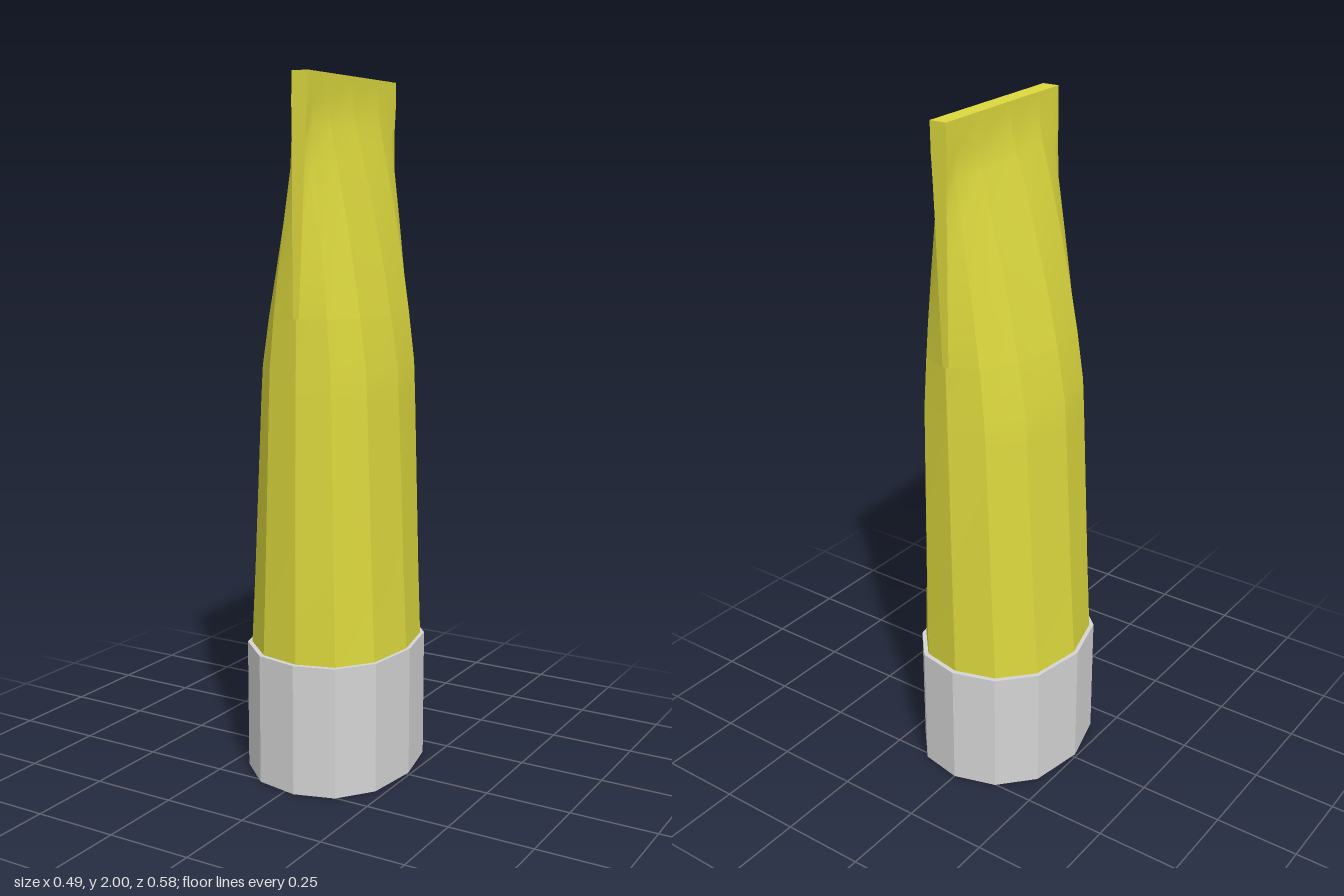
import * as THREE from 'three';

// Twelve-sided footprint [x, z], from the back ridge round the +x side
const FOOT = [
  [0, -0.29], [0.126, -0.264], [0.206, -0.173], [0.242, -0.012], [0.222, 0.152], [0.147, 0.252],
  [0.031, 0.288], [-0.096, 0.264], [-0.199, 0.171], [-0.243, 0.012], [-0.215, -0.154], [-0.126, -0.252],
];

// Body levels: height, sideways scale, half thickness of the blade edge
const LEVELS = [
  [0.37, 0.955, 0.001], [0.6, 0.9, 0.001], [1.1, 0.8, 0.001], [1.2, 0.775, 0.001], [1.345, 0.675, 0.001],
  [1.35, 0.67, 0.01], [1.45, 0.59, 0.012], [1.6, 0.45, 0.016], [1.75, 0.29, 0.019],
  [1.85, 0.175, 0.022], [1.92, 0.09, 0.025], [2, 0.02, 0.025],
];

// One cross-section; both ridges are doubled so they can widen into the blade
function section([y, scale, half]) {
  const t = (y - 0.37) / 1.63;
  const front = y < 1.35 ? 0.95 - 0.02 * (y - 0.37) : 0.93 - 0.08 * (y - 1.35) / 0.65;
  const back = 0.95 + 0.045 * t;
  const point = (k, side) => {
    const [x, z0] = FOOT[k];
    const v = k % 6 === 0 ? 0 : Math.abs(x - (0.0155 + 0.0536 * z0));
    const z = z0 * (z0 > 0 ? front : back);
    const axis = 0.0155 + 0.0085 * t + (0.0536 - 0.0066 * t) * z;
    return [axis + side * Math.max(half, v * scale), y, z];
  };
  return [
    ...[0, 1, 2, 3, 4, 5, 6].map(k => point(k, 1)),
    ...[6, 7, 8, 9, 10, 11, 0].map(k => point(k, -1)),
  ];
}

// Strips are kept apart: crisp edges between them, smooth along the height
function bodyGeometry() {
  const rings = LEVELS.map(section);
  const n = rings[0].length;
  const pos = [], index = [];
  for (let i = 0; i < n; i++) {
    const start = pos.length / 3;
    rings.forEach((ring, r) => {
      pos.push(...ring[i], ...ring[(i + 1) % n]);
      if (r === rings.length - 1) return;
      const a = start + r * 2;
      index.push(a, a + 2, a + 1, a + 1, a + 2, a + 3);
    });
  }
  // Flat blade top
  const top = rings[rings.length - 1];
  const c = pos.length / 3;
  pos.push(0.024, 2, 0);
  top.forEach(p => pos.push(...p));
  for (let i = 0; i < n; i++) index.push(c, c + 1 + (i + 1) % n, c + 1 + i);
  const g = new THREE.BufferGeometry();
  g.setAttribute('position', new THREE.Float32BufferAttribute(pos, 3));
  g.setIndex(index);
  g.computeVertexNormals();
  return g;
}

export function createModel() {
  const yellow = new THREE.MeshStandardMaterial({ name: 'yellow', color: 0xdcd83e });
  const grey = new THREE.MeshStandardMaterial({ name: 'lightGrey', color: 0xd4d4d4 });
  const group = new THREE.Group();
  group.name = 'flattenedNozzle';

  // Base collar
  const shape = new THREE.Shape(FOOT.map(([x, z]) => new THREE.Vector2(x, -z)));
  const collarGeometry = new THREE.ExtrudeGeometry(shape, { depth: 0.38, bevelEnabled: false });
  collarGeometry.rotateX(-Math.PI / 2);
  const collar = new THREE.Mesh(collarGeometry, grey);
  collar.name = 'collar';

  // Tapered body pinching into a flat blade
  const body = new THREE.Mesh(bodyGeometry(), yellow);
  body.name = 'taperedBody';

  group.add(collar, body);
  return group;
}
